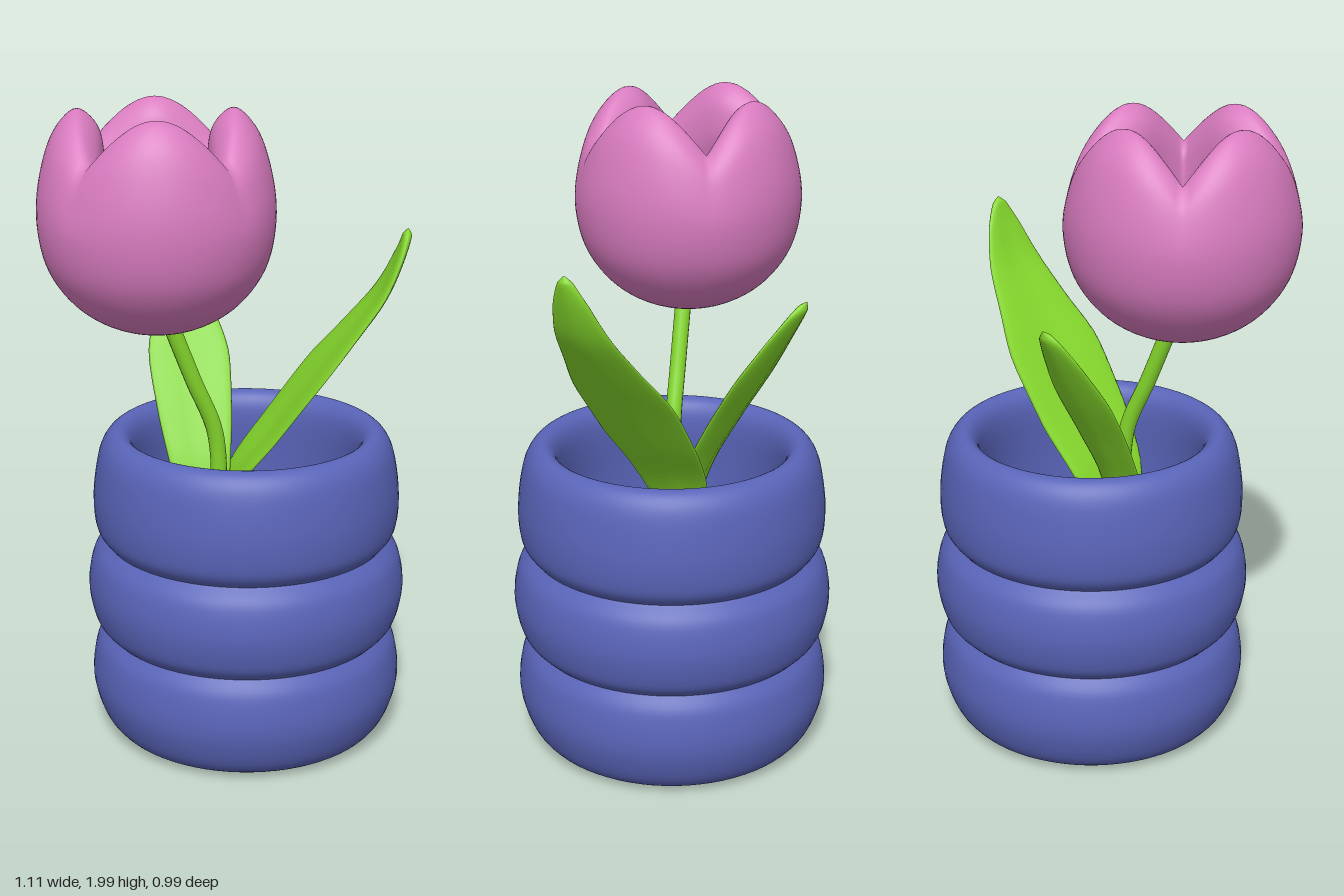
import * as THREE from 'three';

const V = (x, y, z) => new THREE.Vector3(x, y, z);

// Smooth skin over closed rings of points
function loft(rings) {
  const n = rings[0].length, pos = [], idx = [];
  rings.forEach(r => r.forEach(p => pos.push(p.x, p.y, p.z)));
  for (let i = 0; i < rings.length - 1; i++) {
    for (let j = 0; j < n; j++) {
      const a = i * n + j, b = i * n + (j + 1) % n;
      idx.push(a, a + n, b, b, a + n, b + n);
    }
  }
  const g = new THREE.BufferGeometry();
  g.setAttribute('position', new THREE.Float32BufferAttribute(pos, 3));
  g.setIndex(idx);
  g.computeVertexNormals();
  return g;
}

// Smooth lathe through [radius, height] points
function turned(points) {
  const curve = new THREE.SplineCurve(points.map(p => new THREE.Vector2(...p)));
  const pts = curve.getPoints(points.length * 5);
  pts.forEach(p => { p.x = Math.max(0, p.x); p.y = Math.max(0, p.y); });
  return new THREE.LatheGeometry(pts, 72);
}

// Leaf along [x, y, z, half width] stations, flat across the given axis and slightly folded
function leafGeometry(stations, across, fold) {
  const path = new THREE.CatmullRomCurve3(stations.map(s => V(s[0], s[1], s[2])));
  const widths = new THREE.CatmullRomCurve3(stations.map(s => V(s[3], 0, 0)));
  const rings = [], steps = 40, sides = 20;
  for (let i = 0; i <= steps; i++) {
    const t = i / steps, c = path.getPoint(t);
    const w = Math.max(0.001, widths.getPoint(t).x);
    const normal = across.clone().cross(path.getTangent(t)).normalize();
    const thick = Math.min(0.014, w * 0.6);
    const ring = [];
    for (let j = 0; j < sides; j++) {
      const a = j / sides * Math.PI * 2;
      const lift = thick * Math.sin(a) + fold * w * (Math.abs(Math.cos(a)) - 0.5);
      ring.push(c.clone().addScaledVector(across, w * Math.cos(a)).addScaledVector(normal, lift));
    }
    rings.push(ring);
  }
  return loft(rings);
}

// Cup of four fused petals: profile blends from petal middle to the notch between petals
function blossomGeometry() {
  const petal = [[0.001, 1.34], [0.12, 1.355], [0.235, 1.42], [0.318, 1.53], [0.348, 1.67], [0.335, 1.81],
    [0.288, 1.94], [0.225, 1.995], [0.168, 1.95], [0.148, 1.85], [0.17, 1.7], [0.13, 1.57], [0.001, 1.54]];
  const notch = [[0.001, 1.34], [0.12, 1.355], [0.235, 1.42], [0.318, 1.53], [0.348, 1.66], [0.337, 1.75],
    [0.31, 1.82], [0.262, 1.86], [0.222, 1.835], [0.205, 1.77], [0.19, 1.66], [0.13, 1.57], [0.001, 1.54]];
  const curve = pts => new THREE.CatmullRomCurve3(pts.map(p => V(p[0], p[1], 0)));
  const mid = curve(petal), gap = curve(notch);
  const rings = [], steps = 72, sides = 96;
  for (let i = 0; i <= steps; i++) {
    const p = mid.getPoint(i / steps), q = gap.getPoint(i / steps), ring = [];
    for (let j = 0; j < sides; j++) {
      const a = j / sides * Math.PI * 2;
      const k = (1 - Math.max(Math.abs(Math.cos(a)), Math.abs(Math.sin(a)))) / (1 - Math.SQRT1_2);
      const r = Math.max(0.001, THREE.MathUtils.lerp(p.x, q.x, k));
      ring.push(V(r * Math.cos(a), THREE.MathUtils.lerp(p.y, q.y, k), r * Math.sin(a)));
    }
    rings.push(ring);
  }
  return loft(rings);
}

export function createModel() {
  const material = (name, color) => {
    const m = new THREE.MeshStandardMaterial({ color });
    m.name = name;
    return m;
  };
  const blue = material('pot blue', 0x5964b8);
  const pink = material('petal pink', 0xd97cc0);
  const green = material('leaf green', 0x84d62c);

  const model = new THREE.Group();
  model.name = 'pottedFlower';
  const add = (parent, name, geometry, mat) => {
    const mesh = new THREE.Mesh(geometry, mat);
    mesh.name = name;
    parent.add(mesh);
    return mesh;
  };

  // Pot of three bulging rings
  const pot = new THREE.Group();
  pot.name = 'pot';
  pot.position.x = 0.06;
  model.add(pot);
  add(pot, 'lowerRing', turned([[0, 0.005], [0.2, 0.005], [0.38, 0.012], [0.44, 0.045], [0.475, 0.12],
    [0.487, 0.2], [0.472, 0.295], [0.44, 0.345]]), blue);
  add(pot, 'middleRing', turned([[0.44, 0.345], [0.476, 0.39], [0.495, 0.49], [0.478, 0.59], [0.437, 0.642]]), blue);
  add(pot, 'upperRing', turned([[0.437, 0.642], [0.468, 0.69], [0.475, 0.79], [0.458, 0.91], [0.432, 0.968],
    [0.395, 0.99], [0.36, 0.965], [0.345, 0.9], [0.347, 0.75], [0.343, 0.6]]), blue);
  const floor = add(pot, 'potFloor', new THREE.CircleGeometry(0.346, 72), blue);
  floor.rotation.x = -Math.PI / 2;
  floor.position.y = 0.605;

  // Stem and blossom
  const stemPath = new THREE.CatmullRomCurve3([V(-0.02, 0.6, 0.04), V(-0.025, 0.8, 0.05), V(-0.04, 1, 0.06),
    V(-0.105, 1.17, 0.085), V(-0.19, 1.4, 0.115)]);
  add(model, 'stem', new THREE.TubeGeometry(stemPath, 32, 0.025, 14), green);
  const blossom = add(model, 'blossom', blossomGeometry(), pink);
  blossom.position.set(-0.21, 0, 0.115);

  // Leaves
  add(model, 'sideLeaf', leafGeometry([[-0.08, 0.61, 0.035, 0.05], [0.02, 0.84, 0.035, 0.135],
    [0.14, 1.0, 0.035, 0.17], [0.26, 1.16, 0.035, 0.177], [0.38, 1.31, 0.035, 0.135], [0.465, 1.425, 0.036, 0.1],
    [0.513, 1.53, 0.037, 0.063], [0.535, 1.6, 0.038, 0.025], [0.538, 1.62, 0.038, 0.002]], V(0, 0, 1), 0.1), green);
  add(model, 'backLeaf', leafGeometry([[-0.05, 0.61, 0.04, 0.04], [-0.08, 0.84, -0.01, 0.09],
    [-0.095, 1.0, -0.09, 0.115], [-0.11, 1.16, -0.185, 0.127], [-0.122, 1.31, -0.275, 0.088],
    [-0.128, 1.4, -0.33, 0.045], [-0.13, 1.44, -0.355, 0.002]], V(1, 0, 0), 0.15), green);

  return model;
}
